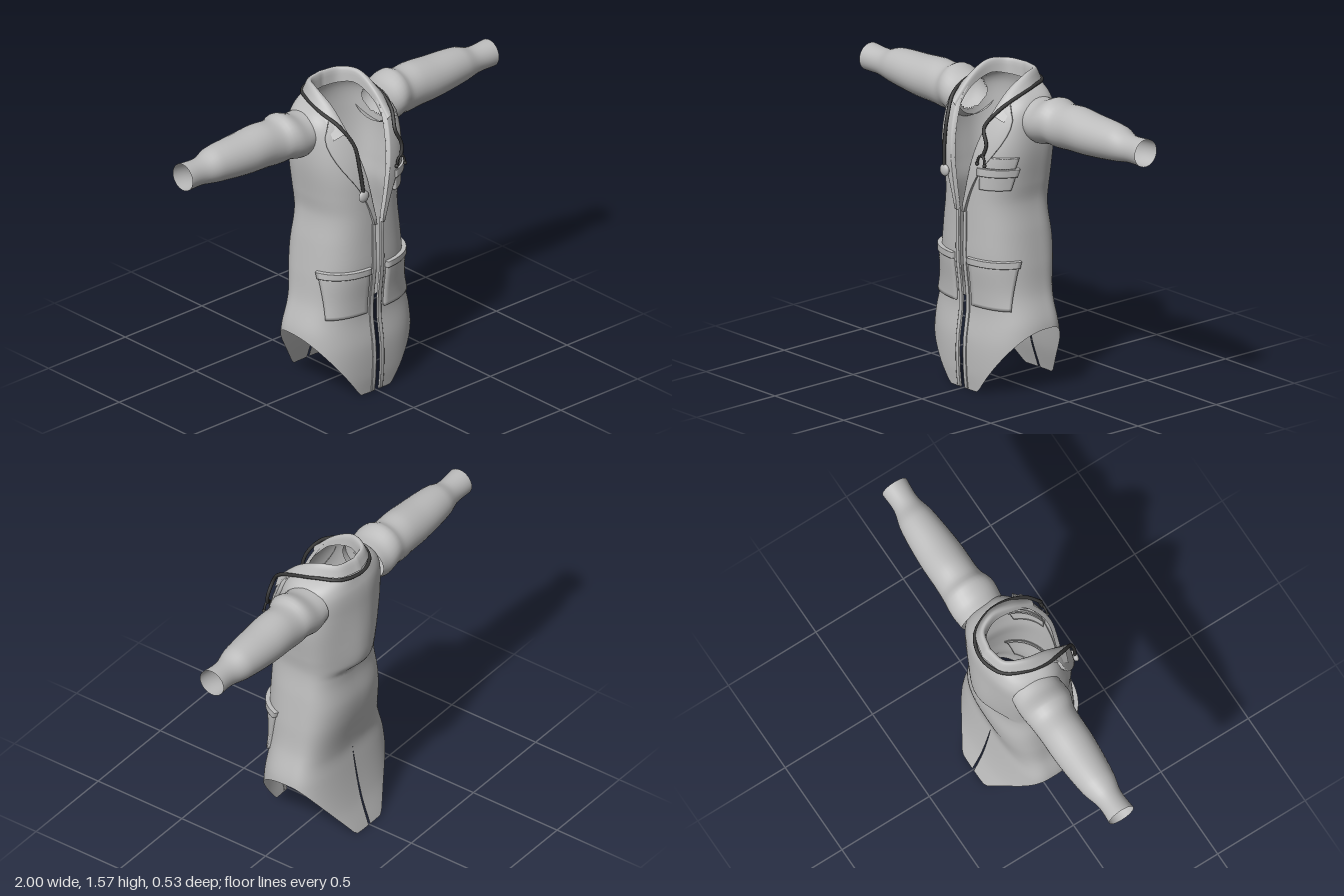
import * as THREE from 'three';
import { mergeGeometries, mergeVertices } from 'three/addons/utils/BufferGeometryUtils.js';

const cloth = new THREE.MeshStandardMaterial({ name: 'grey cloth', color: 0xbcbcbc, side: THREE.DoubleSide });
const rubber = new THREE.MeshStandardMaterial({ name: 'dark rubber', color: 0x383838 });

// Smooth curve through [position, value] pairs
function profile(pts) {
  const slope = i => {
    const a = pts[Math.max(i - 1, 0)], b = pts[Math.min(i + 1, pts.length - 1)];
    return (b[1] - a[1]) / (b[0] - a[0]);
  };
  return t => {
    if (t <= pts[0][0]) return pts[0][1];
    const i = pts.findIndex(p => p[0] >= t);
    if (i < 0) return pts[pts.length - 1][1];
    const [a, va] = pts[i - 1], [b, vb] = pts[i], h = b - a, k = (t - a) / h;
    return va * (1 + 2 * k) * (1 - k) ** 2 + vb * k * k * (3 - 2 * k)
      + h * slope(i - 1) * k * (1 - k) ** 2 - h * slope(i) * k * k * (1 - k);
  };
}

// Surface from fn(s, t); sign -1 mirrors it across x
function grid(fn, ns, nt, sign = 1, skip = null) {
  const pos = [], index = [];
  for (let j = 0; j <= nt; j++) for (let i = 0; i <= ns; i++) {
    const p = fn(i / ns, j / nt);
    pos.push(p[0] * sign, p[1], p[2]);
  }
  const tri = (a, b, c) => {
    const mid = k => (pos[a * 3 + k] + pos[b * 3 + k] + pos[c * 3 + k]) / 3;
    if (skip && skip(mid(0), mid(1), mid(2))) return;
    if (sign > 0) index.push(a, b, c); else index.push(a, c, b);
  };
  for (let j = 0; j < nt; j++) for (let i = 0; i < ns; i++) {
    const a = j * (ns + 1) + i, b = a + 1, c = a + ns + 1, d = c + 1;
    tri(a, b, d);
    tri(a, d, c);
  }
  const g = new THREE.BufferGeometry();
  g.setAttribute('position', new THREE.Float32BufferAttribute(pos, 3));
  g.setIndex(index);
  return g;
}

function smooth(geos) {
  const g = mergeVertices(mergeGeometries(geos), 1e-4);
  g.computeVertexNormals();
  return g;
}

// Coat section at height y: a rounded oval, u = 0 at the front and PI at the back
const P = 0.75, ZC = -0.02, TOP = 1.5;
const halfWidth = profile([[0, .34], [.33, .34], [.5, .295], [.65, .278], [.8, .26], [.95, .24], [1.05, .25],
  [1.2, .268], [1.3, .27], [1.4, .262], [1.45, .238], [1.48, .2], [1.5, .15]]);
const frontZ = profile([[0, .235], [.1, .245], [.25, .245], [.4, .225], [.5, .228], [.65, .245], [.8, .245],
  [1.1, .24], [1.2, .228], [1.3, .2], [1.4, .155], [1.45, .12], [1.5, .06]]);
const backZ = profile([[0, -.25], [.15, -.2], [.35, -.16], [.45, -.15], [.65, -.18], [.75, -.185], [.88, -.17],
  [1, -.175], [1.1, -.185], [1.3, -.2], [1.42, -.202], [1.5, -.18]]);
const backBulge = profile([[.93, 0], [.98, .048], [1.1, .05], [1.3, .022], [1.45, 0]]);
const gap = profile([[0, .015], [.9, .016], [1, .035], [1.2, .075], [1.4, .12], [1.5, .135]]);
const pw = v => Math.sign(v) * Math.abs(v) ** P;

function surface(u, y, off = 0) {
  const c = Math.cos(u);
  const x = (halfWidth(y) + off) * pw(Math.sin(u));
  const depth = c > 0 ? frontZ(y) - ZC + off : ZC - backZ(y) + off;
  let z = ZC + depth * pw(c);
  if (c < 0) z -= backBulge(y) * Math.exp(-((x / .13) ** 2));
  return [x, y, z];
}
const angleAt = (x, y) => Math.asin(Math.min(1, x / halfWidth(y)) ** (1 / P));
const lerp = THREE.MathUtils.lerp;

// Raised cloth panel lying on the front, with turned-in edges
function panel(inner, outer, y0, y1, off, sign) {
  const n = 16;
  const inset = s => THREE.MathUtils.clamp((s * n - 1) / (n - 2), 0, 1);
  return smooth([grid((s, t) => {
    const edge = s === 0 || s === 1 || t === 0 || t === 1;
    const y = lerp(y0, y1, inset(t));
    return surface(lerp(inner(y), outer(y), inset(s)), y, edge ? -.004 : off);
  }, n, n, sign)]);
}

export function createModel() {
  const coat = new THREE.Group();
  coat.name = 'longCoat';
  const add = (name, geo, mat = cloth) => {
    const m = new THREE.Mesh(geo, mat);
    m.name = name;
    coat.add(m);
    return m;
  };

  // Body: open front, pointed tails, slit at the back, armholes
  const body = sign => grid((s, t) => {
    const around = y => lerp(angleAt(gap(y), y), Math.PI - .005 * Math.max(0, 1 - y / .42), s);
    const hem = Math.max(0, (halfWidth(0) * pw(Math.sin(around(0))) - .1) / .24 * .33);
    const y = lerp(hem, TOP, t);
    return surface(around(y), y);
  }, 56, 90, sign, (x, y, z) => Math.abs(x) > .15 && Math.hypot(y - 1.365, z + .045) < .082);
  add('coatBody', smooth([body(1), body(-1)]));

  // Sleeve sections along x
  const sleeveTop = profile([[.22, 1.46], [.28, 1.462], [.36, 1.49], [.41, 1.472], [.5, 1.478], [.62, 1.468], [.8, 1.455], [.88, 1.43], [1, 1.435]]);
  const sleeveBottom = profile([[.22, 1.27], [.28, 1.245], [.36, 1.258], [.41, 1.25], [.5, 1.255], [.62, 1.26], [.8, 1.278], [.9, 1.295], [1, 1.297]]);
  const sleeveFront = profile([[.22, .075], [.33, .085], [.42, .06], [.6, .055], [.8, .035], [.9, .015], [1, .02]]);
  const sleeveBack = profile([[.22, -.17], [.33, -.175], [.42, -.165], [.6, -.163], [.8, -.145], [.9, -.118], [1, -.12]]);

  // Collar lines from the lapel notch round to the centre back
  const line = pts => new THREE.CatmullRomCurve3(pts.map(p => new THREE.Vector3(...p)));
  const collarLines = [
    line([[.12, 1.36, .165], [.125, 1.45, .08], [.12, 1.5, -.05], [.08, 1.49, -.12], [0, 1.485, -.145]]),
    line([[.13, 1.39, .18], [.135, 1.5, .07], [.13, 1.56, -.05], [.09, 1.56, -.128], [0, 1.558, -.153]]),
    line([[.15, 1.395, .18], [.155, 1.5, .07], [.148, 1.562, -.05], [.1, 1.562, -.14], [0, 1.56, -.168]]),
    line([[.21, 1.37, .16], [.195, 1.46, .075], [.178, 1.51, -.05], [.115, 1.51, -.16], [0, 1.505, -.198]]),
  ];
  const collar = sign => grid((s, t) => {
    const section = line(collarLines.map(c => c.getPoint(s).toArray()));
    const p = section.getPoint(t).toArray();
    if (s === 1) p[0] = 0;
    return p;
  }, 28, 12, sign);
  add('collar', smooth([collar(1), collar(-1)]));

  const lapelEdge = profile([[.9, .03], [1, .062], [1.1, .108], [1.25, .195], [1.36, .222], [1.42, .2], [1.46, .17]]);
  for (const [side, sign] of [['left', 1], ['right', -1]]) {
    add(side + 'Sleeve', smooth([grid((s, t) => {
      const x = lerp(.22, 1, t), a = s * Math.PI * 2;
      const top = sleeveTop(x), bottom = sleeveBottom(x), f = sleeveFront(x), b = sleeveBack(x);
      return [x, (top + bottom) / 2 + Math.sin(a) * (top - bottom) / 2, (f + b) / 2 - Math.cos(a) * (f - b) / 2];
    }, 32, 48, -sign)]));

    const edge = y => angleAt(gap(y), y);
    add(side + 'Lapel', panel(edge, y => angleAt(lapelEdge(y), y), .9, 1.46, .018, sign));
    add(side + 'Placket', panel(edge, y => angleAt(.036, y), .005, .9, .006, sign));

    // Hip pocket with its rolled top band
    const inner = x => y => angleAt(x, y);
    const outer = extra => y => lerp(.87, 1.18, (y - .43) / .23) + extra;
    add(side + 'HipPocket', panel(inner(.055), outer(0), .43, .65, .012, sign));
    add(side + 'HipPocketBand', panel(inner(.05), outer(.02), .643, .676, .02, sign));
  }

  // Chest pocket: pouch, flap and top band
  const chestIn = x => y => angleAt(x, y);
  const chestOut = y => lerp(1.08, 1.24, (y - 1.03) / .17);
  add('chestPocket', panel(chestIn(.115), chestOut, 1.03, 1.11, .012, 1));
  add('chestPocketFlap', panel(chestIn(.105), y => chestOut(y) + .03, 1.1, 1.14, .022, 1));
  add('chestPocketBand', panel(chestIn(.12), y => chestOut(y) - .06, 1.14, 1.195, .012, 1));

  // Stethoscope draped under the collar
  const tube = (name, pts, r, n) => add(name, new THREE.TubeGeometry(line(pts), n, r, 8), rubber);
  tube('stethoscopeTube', [[-.108, 1.1, .262], [-.12, 1.22, .25], [-.13, 1.34, .222], [-.165, 1.43, .155],
    [-.188, 1.475, .05], [-.175, 1.502, -.06], [-.115, 1.5, -.165], [0, 1.498, -.205], [.115, 1.5, -.165],
    [.175, 1.502, -.06], [.188, 1.475, .05], [.168, 1.42, .16], [.135, 1.34, .222], [.165, 1.26, .235],
    [.15, 1.2, .248]], .009, 120);
  for (const [name, dx] of [['leftEarTube', .022], ['rightEarTube', -.032]]) {
    tube(name, [[.15, 1.215, .248], [.15 + dx * .7, 1.195, .25], [.15 + dx, 1.165, .252]], .006, 12);
    const tip = add(name.replace('Tube', 'Tip'), new THREE.SphereGeometry(.01, 12, 8), rubber);
    tip.position.set(.15 + dx, 1.163, .252);
  }
  const bell = add('stethoscopeBell', new THREE.SphereGeometry(.03, 24, 16), cloth);
  bell.scale.z = .5;
  bell.position.set(-.106, 1.078, .262);

  return coat;
}
